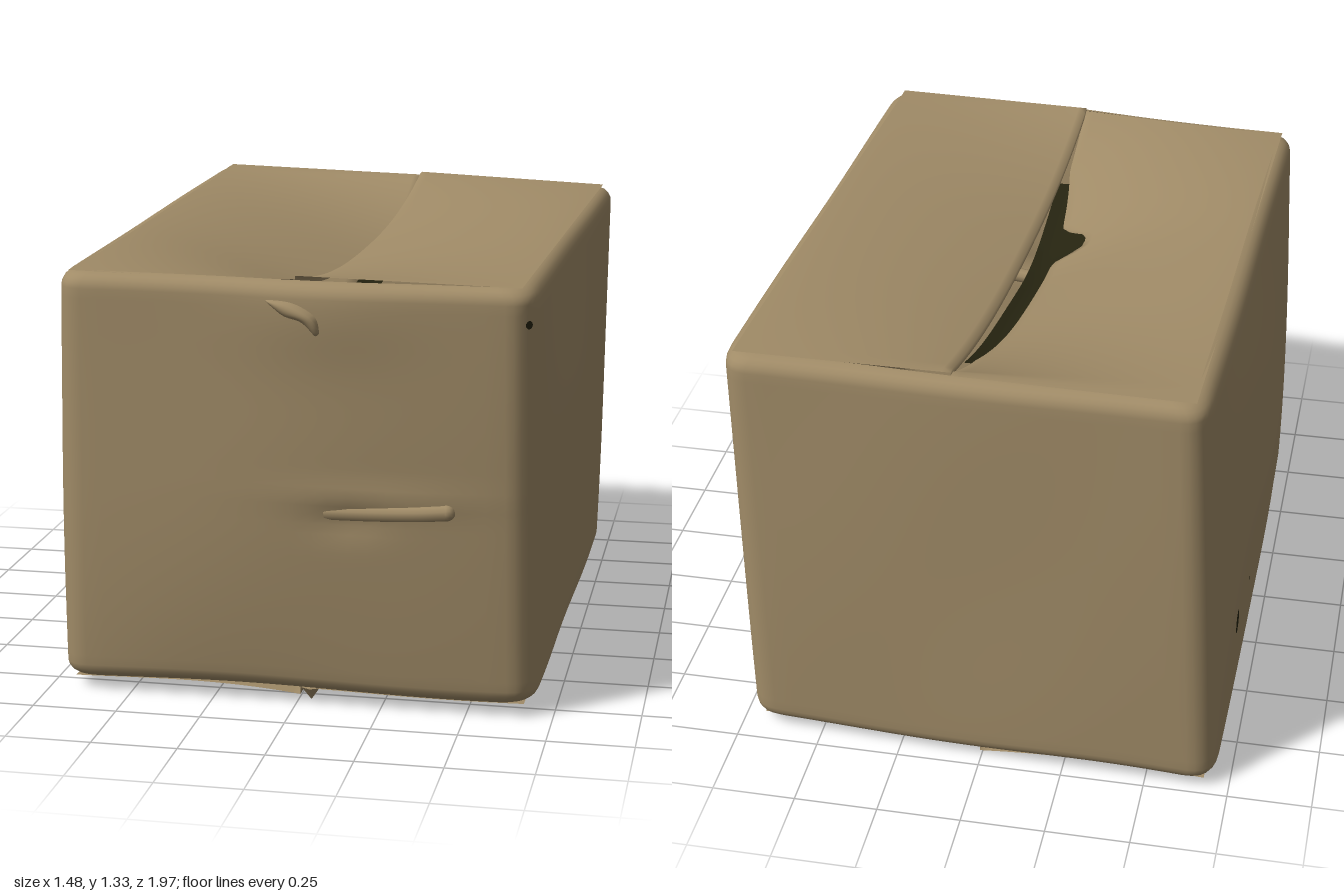
import * as THREE from 'three';

const lerp = THREE.MathUtils.lerp;
const clamp = THREE.MathUtils.clamp;
const bell = (v, c, w) => Math.exp(-(((v - c) / w) ** 2));

// Box corners [x, z]: front -x, front +x, back +x, back -x
const LOW = [[-0.71, 0.85], [0.7, 0.85], [0.72, -0.945], [-0.71, -0.995]];
const HIGH = [[-0.685, 0.895], [0.69, 0.975], [0.745, -0.925], [-0.645, -1.0]];
const BULGE = [0.026, 0.016, 0.006, 0.044];
const EDGE = 0.045, CORNER = 0.085;

const topY = (x, z) => 1.287 - 0.024 * z - 0.006 * x + 0.014 * x * z;
const botY = (x, z) => 0.03 + 0.006 * Math.sin(5 * x + 3 * z) + 0.008 * z;

const corners = (t, inset) => LOW.map((c, i) => c.map((v, k) => {
  const p = lerp(v, HIGH[i][k], t);
  return p - Math.sign(p) * inset;
}));

// Point on one wall, with its belly and soft dents
function wallPoint(c, side, s, t) {
  const a = c[side], b = c[(side + 1) % 4];
  const dx = b[0] - a[0], dz = b[1] - a[1], len = Math.hypot(dx, dz);
  const fade = Math.sin(Math.PI * s);
  let out = BULGE[side] * fade ** 0.7 * Math.sin(Math.PI * clamp(t, 0, 1) ** 0.8);
  out += 0.005 * fade * Math.sin(7 * s + 2 * side) * Math.sin(6 * t + side);
  if (side === 0) {
    const x = a[0] + dx * s;
    out += 0.009 * bell(t, 0.5, 0.03) * bell(x, 0.25, 0.26);
    out -= 0.012 * bell(t, 0.44, 0.04) * bell(x, 0.17, 0.1);
    out += 0.02 * bell(t, 0.94, 0.12) * bell(x, 0.1, 0.25);
  }
  return [a[0] + dx * s - (dz / len) * out, a[1] + dz * s + (dx / len) * out];
}

// Closed outline with rounded corners at height fraction t
function outline(t, inset) {
  const c = corners(t, inset), pts = [], cut = CORNER / 1.5, n = 22;
  for (let side = 0; side < 4; side++) {
    for (let i = 0; i <= n; i++) pts.push(wallPoint(c, side, lerp(cut, 1 - cut, i / n), t));
    const k = c[(side + 1) % 4];
    const p = pts[pts.length - 1], q = wallPoint(c, (side + 1) % 4, cut, t);
    for (let i = 1; i < 6; i++) {
      const f = i / 6, g = 1 - f;
      pts.push([0, 1].map(m => g * g * p[m] + 2 * f * g * k[m] + f * f * q[m]));
    }
  }
  return pts;
}

// Smooth surface from rows of points
function surface(rows, closed) {
  const n = rows[0].length, index = [];
  for (let r = 0; r + 1 < rows.length; r++) {
    for (let i = 0; i < (closed ? n : n - 1); i++) {
      const j = (i + 1) % n, a = r * n + i, b = r * n + j;
      index.push(a, b, b + n, a, b + n, a + n);
    }
  }
  const g = new THREE.BufferGeometry();
  g.setAttribute('position', new THREE.Float32BufferAttribute(rows.flat(2), 3));
  g.setIndex(index);
  g.computeVertexNormals();
  return g;
}

const grid = (nu, nv, fn) => surface(Array.from({ length: nv + 1 }, (_, v) =>
  Array.from({ length: nu + 1 }, (_, u) => fn(u / nu, v / nv))), false);

// Top seam, gap and sagging flaps
const seamX = z => 0.047 - 0.032 * z;
const gap = z => 0.043 * Math.max(0, 1 - Math.abs((z + 0.03) / 0.64) ** 3)
  + 0.09 * Math.exp(-(((z - 0.24) / 0.075) ** 4));
function flapY(side, x, z) {
  const reach = clamp((x - side * 0.67) / (seamX(z) - side * 0.67), 0, 1);
  const span = Math.max(0, 1 - Math.abs(z / 0.9) ** 2.4);
  const sag = side < 0 ? 0.2 + 0.04 * bell(z, 0.2, 0.3) : 0.095;
  return topY(x, z) + 0.001 - sag * span * reach ** 1.5;
}

function quadPoint(c, x, w) {
  const f = (x + 0.68) / 1.36;
  return lerp(lerp(c[0][1], c[1][1], f), lerp(c[3][1], c[2][1], f), w);
}

// One flap from its wall to the seam; the last column is the folded cut edge
function flap(side, t, seam, height, fold) {
  const c = corners(t, EDGE - 0.01), nu = 26;
  const [front, back] = side < 0 ? [c[0], c[3]] : [c[1], c[2]];
  return grid(nu, 64, (u, w) => {
    const k = Math.min(1, u * nu / (nu - 1));
    const z0 = lerp(front[1], back[1], w);
    const x = lerp(lerp(front[0], back[0], w), seam(z0), k);
    const z = quadPoint(c, x, w);
    return [x, height(x, z, k) + (u === 1 ? fold : 0), z];
  });
}

const topFlap = side => flap(side, 1, z => seamX(z) - (side < 0 ? gap(z) : 0),
  (x, z, k) => flapY(side, x, z) + (side > 0 ? 0.01 * k : 0), -0.018);
const bottomFlap = side => flap(side, 0, () => 0.008,
  (x, z, k) => botY(x, z) - 0.001 - (side < 0 ? 0.022 : 0.002) * k ** 3, 0.02);

export function createModel() {
  const group = new THREE.Group();
  const cardboard = new THREE.MeshStandardMaterial({ color: 0xa08b67, side: THREE.DoubleSide });
  cardboard.name = 'cardboard';
  const shadowBrown = new THREE.MeshStandardMaterial({ color: 0x252310, side: THREE.DoubleSide });
  shadowBrown.name = 'dark interior';
  const add = (name, geometry, material = cardboard) => {
    const mesh = new THREE.Mesh(geometry, material);
    mesh.name = name;
    group.add(mesh);
    return mesh;
  };

  // Walls with rounded bottom and top edges
  const levels = [];
  for (let k = 0; k < 5; k++) {
    const a = (k / 5) * Math.PI / 2;
    levels.push([EDGE * (1 - Math.cos(a)) / 1.25, EDGE * (1 - Math.sin(a))]);
  }
  const upper = levels.map(([t, inset]) => [1 - t, inset]).reverse();
  for (let k = 0; k <= 40; k++) levels.push([lerp(0.036, 0.964, k / 40), 0]);
  levels.push(...upper);
  add('walls', surface(levels.map(([t, inset]) => outline(t, inset).map(([x, z]) =>
    [x, lerp(botY(x, z), topY(x, z), t), z])), true));

  // Flaps
  for (const [side, name] of [[-1, 'right'], [1, 'left']]) {
    add(name + 'TopFlap', topFlap(side));
    add(name + 'BottomFlap', bottomFlap(side));
  }

  // Dark opening seen between the top flaps
  add('seamOpening', grid(10, 40, (u, w) => {
    const z = lerp(0.6, -0.66, w), x = seamX(z) + lerp(-0.18, 0.03, u);
    const edge = Math.min(x, seamX(z) - 0.01);
    return [x, flapY(-1, edge, z) - 0.008, z];
  }), shadowBrown);

  // Point on a wall at a given height, nudged out
  const onFront = (x, y, out) => {
    const t = y / 1.27, c = corners(t, 0);
    const s = (x - c[0][0]) / (c[1][0] - c[0][0]);
    return new THREE.Vector3(x, y, wallPoint(c, 0, s, t)[1] + out);
  };
  const onRight = (z, y, out) => {
    const t = y / 1.28, c = corners(t, 0);
    const s = (z - c[3][1]) / (c[0][1] - c[3][1]);
    return new THREE.Vector3(wallPoint(c, 3, s, t)[0] - out, y, z);
  };

  // Crease that rises out of the front and ends in a blunt tip
  const crease = new THREE.CatmullRomCurve3([[0.1, 0.598, -0.026], [0.25, 0.606, -0.014],
    [0.38, 0.615, -0.007], [0.452, 0.622, -0.006]].map(p => onFront(...p)));
  add('frontCrease', new THREE.TubeGeometry(crease, 24, 0.024, 10));
  add('creaseTip', new THREE.SphereGeometry(0.024, 12, 8)).position.copy(crease.getPoint(1));

  // Loose leaf-shaped tape lip on the front
  const curve = pts => new THREE.SplineCurve(pts.map(p => new THREE.Vector2(...p)));
  const lower = curve([[-0.06, 1.212], [-0.01, 1.172], [0.045, 1.155], [0.085, 1.115]]);
  const higher = curve([[-0.06, 1.215], [0.02, 1.21], [0.085, 1.175], [0.098, 1.125]]);
  add('tapeLip', grid(16, 8, (u, v) => {
    const p = lower.getPoint(u).lerp(higher.getPoint(u), v);
    const swell = Math.sqrt(Math.max(0, Math.sin(Math.PI * u) * Math.sin(Math.PI * v)));
    return onFront(p.x, p.y, 0.024 * swell - 0.003).toArray();
  }));

  // Torn tape tip under the front edge
  const tear = add('tornTapeTip', new THREE.ConeGeometry(0.03, 0.04, 6));
  tear.rotation.x = Math.PI;
  tear.position.set(0.04, 0.022, 0.81);

  // Small punctures in the side wall and at the front corner
  const puncture = (r, turn, position) => {
    const hole = add('puncture', new THREE.CircleGeometry(r, 9), shadowBrown);
    hole.rotation.y = turn;
    hole.position.copy(position);
  };
  puncture(0.038, -Math.PI / 2, onRight(-0.64, 0.37, 0.004));
  puncture(0.01, -Math.PI / 2, onRight(-0.4, 0.36, 0.004));
  const [cx, cz] = outline(0.91, 0)[25];
  puncture(0.012, Math.PI / 4, new THREE.Vector3(cx + 0.004, 1.17, cz + 0.004));
  return group;
}
